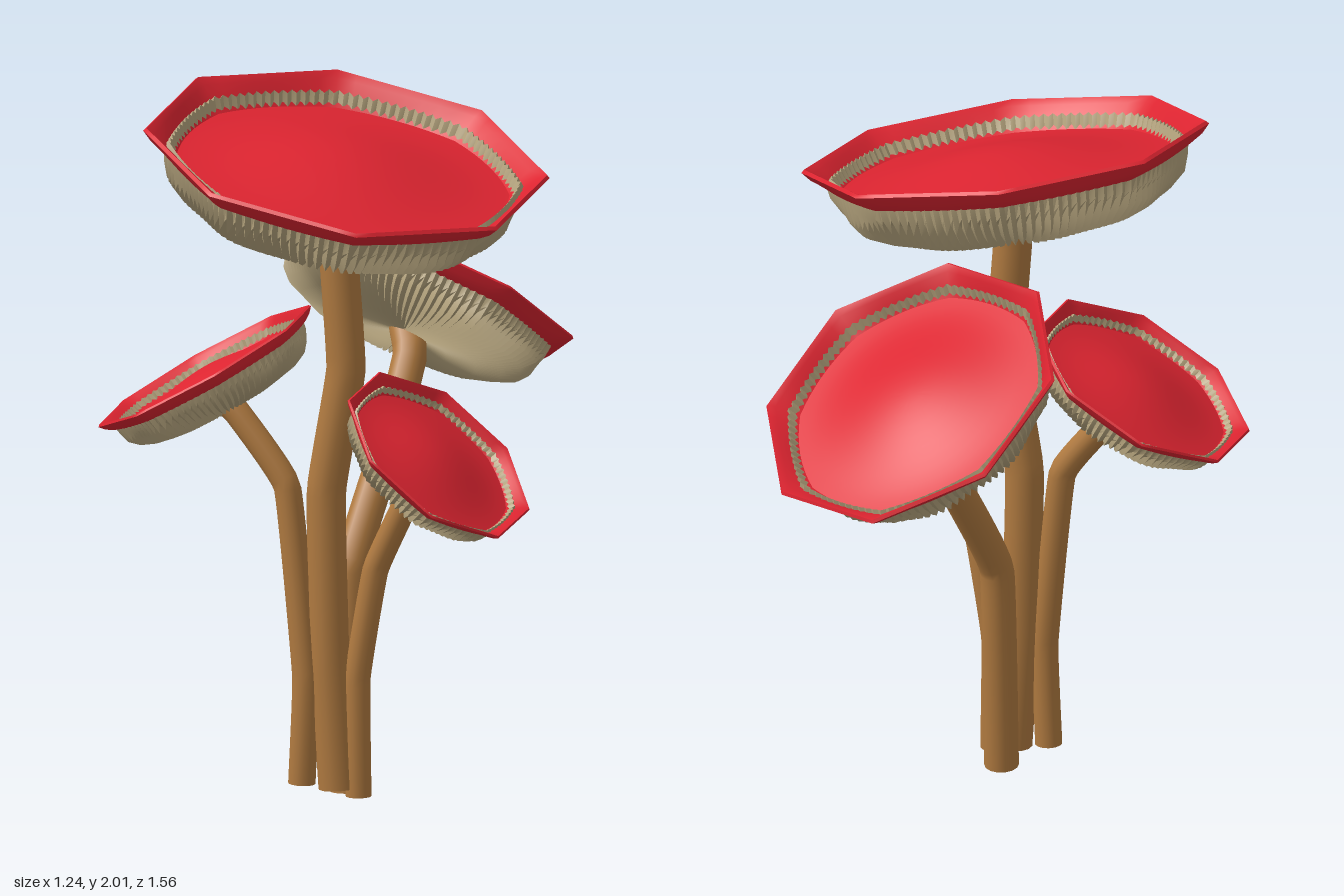
import * as THREE from 'three';
import { toCreasedNormals } from 'three/addons/utils/BufferGeometryUtils.js';

const mat = (name, color) => Object.assign(new THREE.MeshStandardMaterial({ color }), { name });

// Octagon outline that relaxes to a circle inside the rim
function outline(r, a) {
  const sector = Math.PI / 4;
  const local = (((a % sector) + sector) % sector) - sector / 2;
  const octagon = Math.cos(sector / 2) / Math.cos(local);
  const blend = THREE.MathUtils.clamp((r - 0.75) / 0.22, 0, 1);
  return r * THREE.MathUtils.lerp(1, octagon, blend);
}

// Surface swept round the y axis; place(r, y, angle, index) returns [radius, height]
function sweep(profile, segments, place, crease) {
  const positions = [], index = [], row = segments + 1;
  profile.forEach(([r, y], j) => {
    for (let i = 0; i <= segments; i++) {
      const a = ((i % segments) / segments) * Math.PI * 2;
      const [pr, py] = place(r, y, a, i % segments);
      positions.push(pr * Math.cos(a), py, pr * Math.sin(a));
      if (j < profile.length - 1 && i < segments) {
        const p = j * row + i;
        index.push(p, p + row, p + 1, p + 1, p + row, p + row + 1);
      }
    }
  });
  const geometry = new THREE.BufferGeometry();
  geometry.setAttribute('position', new THREE.Float32BufferAttribute(positions, 3));
  geometry.setIndex(index);
  return toCreasedNormals(geometry, crease);
}

// Thin flared rim, shallow moat and low central hump
function capGeometry() {
  const profile = [[0.82, -0.125], [0.9, -0.095], [0.96, -0.055], [1, -0.01], [0.985, 0.005], [0.94, -0.02], [0.88, -0.08]];
  for (let k = 0; k <= 10; k++) {
    const t = 1 - k / 10;
    profile.push([0.82 * t, -0.07 + 0.055 * Math.cos(Math.PI * t)]);
  }
  return sweep(profile, 64, (r, y, a) => [outline(r, a), y], 0.6);
}

// Pleated bowl whose upper lip shows as a thin ring inside the rim
function gillGeometry(ridges) {
  const profile = [[0, -0.33], [0.12, -0.35], [0.3, -0.375], [0.5, -0.38], [0.66, -0.35],
    [0.77, -0.3], [0.84, -0.235], [0.88, -0.15], [0.892, -0.085], [0.868, -0.05], [0.83, -0.14]];
  return sweep(profile, ridges * 2, (r, y, a, i) => {
    const depth = y > -0.12 ? 0.014 : 0.028;
    const groove = i % 2 ? depth * Math.min(1, r / 0.3) : 0;
    const lobe = y < -0.16 ? 1 + 0.018 * Math.sin(9 * a) : 1;
    const lift = y < -0.2 ? groove : -groove;
    return [outline(r, a) * lobe * (1 - groove), y + lift];
  }, 0.4);
}

export function createModel() {
  const model = new THREE.Group();
  const red = mat('cap red', 0xdc2430);
  const tan = mat('gill tan', 0xb3a27c);
  const brown = mat('stalk brown', 0xb07a40);

  const mushrooms = [
    { name: 'tallMushroom', centre: [0.088, 1.868, 0.235], normal: [0.212, 1, 0.125], radius: 0.58, phase: 20,
      ridges: 110, stalkRadius: 0.056,
      path: [[0.058, 0.03, 0.225], [0.035, 0.4, 0.23], [0.022, 0.88, 0.225], [0.08, 1.24, 0.22], [0.055, 1.6, 0.22]] },
    { name: 'backMushroom', centre: [0.08, 1.363, -0.39], normal: [0.26, 1, -0.62], radius: 0.463, phase: -6,
      ridges: 100, stalkRadius: 0.049,
      path: [[0.052, 0, 0.14], [0.04, 0.63, 0.085], [0.08, 0.95, -0.1], [0.085, 1.18, -0.26]] },
    { name: 'rightMushroom', centre: [-0.337, 1.222, 0.252], normal: [-0.56, 1, 0.12], radius: 0.345, phase: 17,
      ridges: 84, stalkRadius: 0.039,
      path: [[-0.042, 0.04, 0.25], [-0.03, 0.35, 0.25], [-0.09, 0.89, 0.24], [-0.24, 1.09, 0.24]] },
    { name: 'leftMushroom', centre: [0.37, 1.02, 0.24], normal: [0.87, 1, 0.15], radius: 0.312, phase: 20,
      ridges: 80, stalkRadius: 0.037,
      path: [[0.118, 0.01, 0.22], [0.115, 0.35, 0.22], [0.17, 0.67, 0.22], [0.285, 0.91, 0.23]] },
  ];

  const capShape = capGeometry();
  const up = new THREE.Vector3(0, 1, 0);

  for (const m of mushrooms) {
    const mushroom = new THREE.Group();
    mushroom.name = m.name;
    const add = (name, geometry, material, parent = mushroom) => {
      const mesh = new THREE.Mesh(geometry, material);
      mesh.name = name;
      parent.add(mesh);
      return mesh;
    };

    // Tilted head: red cap over pleated gills
    const normal = new THREE.Vector3(...m.normal).normalize();
    const centre = new THREE.Vector3(...m.centre);
    const head = new THREE.Group();
    head.name = 'head';
    head.position.copy(centre);
    head.quaternion.setFromUnitVectors(up, normal);
    head.rotateY(-THREE.MathUtils.degToRad(m.phase));
    head.scale.setScalar(m.radius);
    add('cap', capShape, red, head);
    add('gills', gillGeometry(m.ridges), tan, head);
    mushroom.add(head);

    // Bent stalk running up into the gills, closed at its foot
    const points = m.path.map((p) => new THREE.Vector3(...p));
    points.push(centre.clone().addScaledVector(normal, -0.3 * m.radius));
    const curve = new THREE.CatmullRomCurve3(points, false, 'catmullrom', 0.15);
    add('stalk', new THREE.TubeGeometry(curve, 40, m.stalkRadius, 14), brown);
    const foot = add('stalkFoot', new THREE.CircleGeometry(m.stalkRadius, 14), brown);
    foot.position.copy(points[0]);
    foot.quaternion.setFromUnitVectors(new THREE.Vector3(0, 0, 1), curve.getTangent(0).negate());

    model.add(mushroom);
  }
  return model;
}
